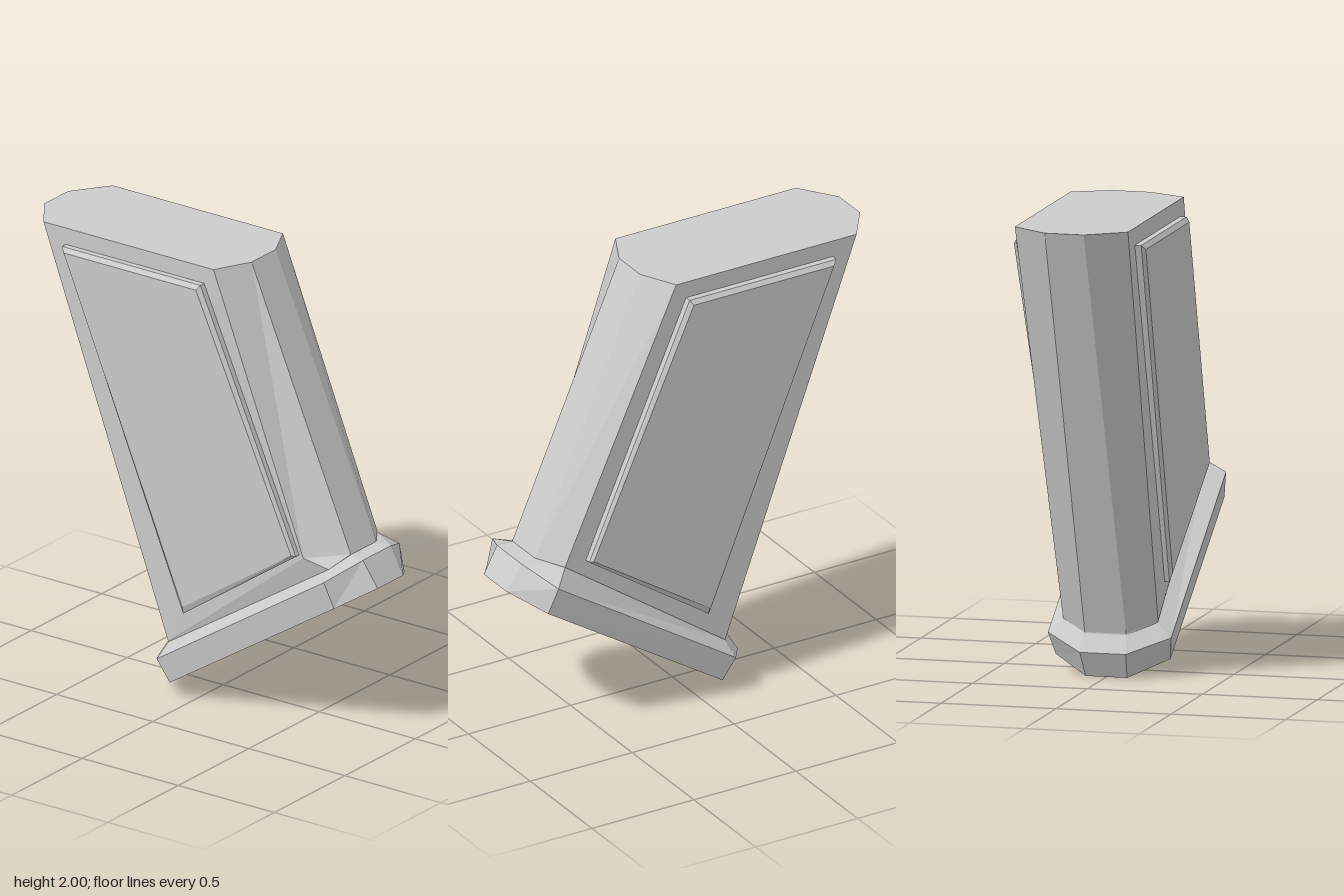
import * as THREE from 'three';

const material = new THREE.MeshStandardMaterial({ color: 0xcccccc, flatShading: true });

// Skin between rings; each ring runs counter-clockwise seen from the end ring.
function loft(name, rings) {
  const pos = [];
  const tri = (a, b, c) => pos.push(...a, ...b, ...c);
  const n = rings[0].length;
  for (let r = 0; r < rings.length - 1; r++) {
    const a = rings[r], b = rings[r + 1];
    for (let i = 0; i < n; i++) {
      const j = (i + 1) % n;
      tri(a[i], a[j], b[j]);
      tri(a[i], b[j], b[i]);
    }
  }
  const first = rings[0], last = rings[rings.length - 1];
  for (let i = 1; i < n - 1; i++) {
    tri(last[0], last[i], last[i + 1]);
    tri(first[0], first[i + 1], first[i]);
  }
  const geometry = new THREE.BufferGeometry();
  geometry.setAttribute('position', new THREE.Float32BufferAttribute(pos, 3));
  geometry.computeVertexNormals();
  const mesh = new THREE.Mesh(geometry, material);
  mesh.name = name;
  return mesh;
}

// Chamfered eight-sided section: narrow ends at +-zEnd, broad sides at +-zSide.
// The front right corner may differ from the back one.
function section(l, lc, rc, r, zEnd, zSide, frontRc = [...rc, zSide]) {
  return [
    [...l, zEnd], [...lc, zSide], frontRc, [...r, zEnd],
    [...r, -zEnd], [...rc, -zSide], [...lc, -zSide], [...l, -zEnd],
  ];
}

export function createModel() {
  const group = new THREE.Group();
  group.name = 'slantedGrip';

  // Slanted base plate, with a bevel rising to the neck
  const neck = section([-0.215, 0.185], [-0.135, 0.23], [0.65, 0.785], [0.73, 0.8], 0.09, 0.205, [0.68, 0.75, 0.18]);
  group.add(loft('basePlate', [
    section([-0.2, 0], [-0.095, 0.07], [0.76, 0.615], [0.87, 0.68], 0.09, 0.25),
    section([-0.26, 0.11], [-0.15, 0.17], [0.72, 0.73], [0.8, 0.795], 0.1, 0.268),
    neck,
  ]));

  // Tapered body, with a small undercut at the front right
  group.add(loft('body', [
    neck,
    section([-0.215, 0.19], [-0.135, 0.235], [0.65, 0.79], [0.73, 0.802], 0.09, 0.207, [0.57, 0.785, 0.21]),
    section([-0.87, 2], [-0.755, 2], [0.13, 2], [0.21, 2], 0.085, 0.246),
  ]));

  // Raised side panels with bevelled rims
  const outer = [[-0.64, 1.925, 0.272], [-0.04, 0.39, 0.23], [0.55, 0.795, 0.235], [0.08, 1.925, 0.272]];
  const inner = [[-0.62, 1.905, 0.287], [-0.035, 0.425, 0.243], [0.535, 0.8, 0.248], [0.068, 1.905, 0.287]];
  const root = outer.map(([x, y]) => [x, y, 0.18]);
  const mirror = (ring) => ring.map(([x, y, z]) => [x, y, -z]).reverse();
  group.add(loft('frontPanel', [root, outer, inner]));
  group.add(loft('backPanel', [root, outer, inner].map(mirror)));

  return group;
}
